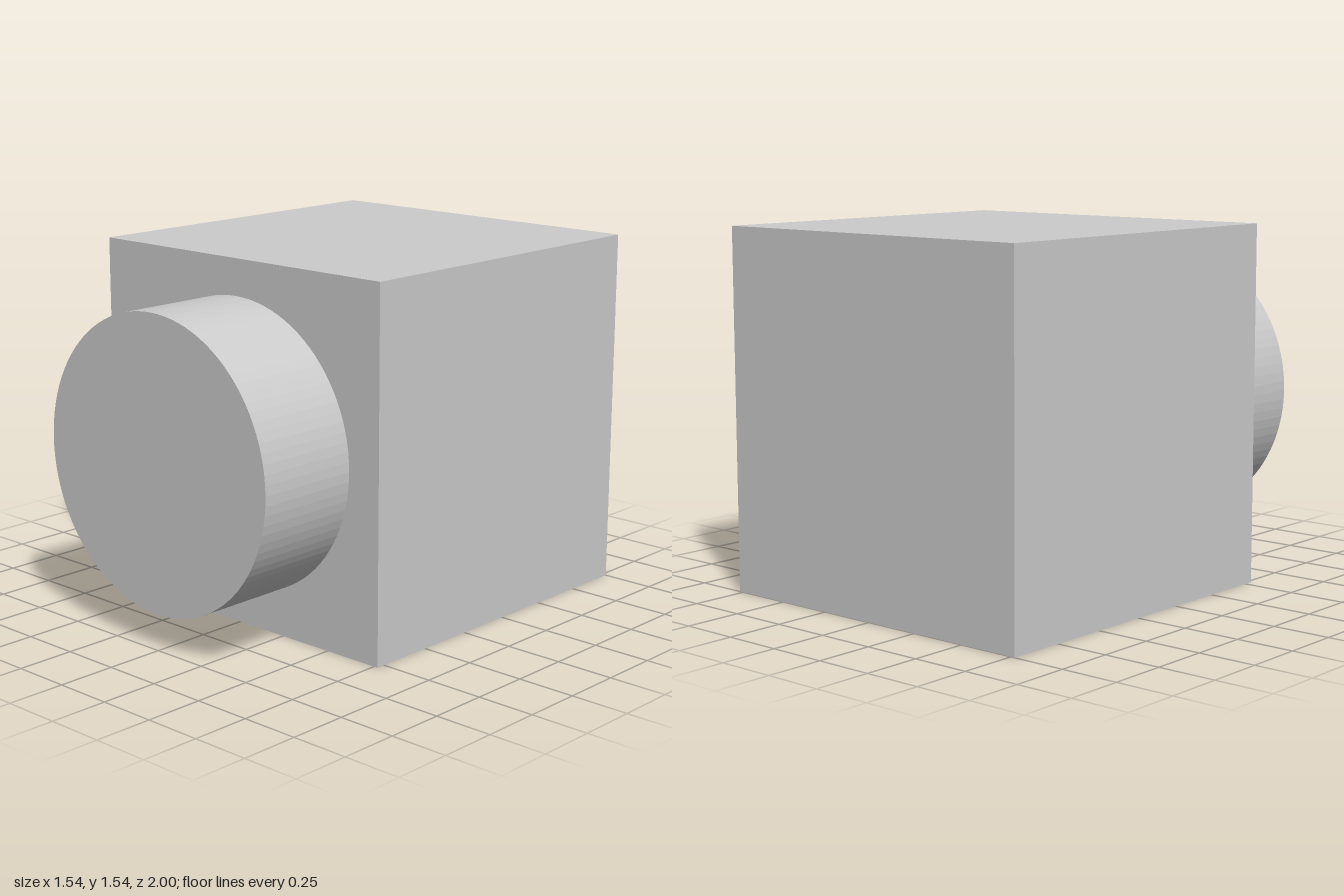
import * as THREE from 'three';

export function createModel() {
  const model = new THREE.Group();
  const material = new THREE.MeshStandardMaterial({ color: 0xcccccc, flatShading: true });

  const unit = 2 / 26; // overall length is 26 units
  const side = 20 * unit;
  const radius = 8 * unit;
  const depth = 6 * unit;

  // Cubic body, flush with the back end
  const body = new THREE.Mesh(new THREE.BoxGeometry(side, side, side), material);
  body.name = 'body';
  body.position.set(0, side / 2, -1 + side / 2);

  // Round boss on the middle of the front face
  const boss = new THREE.Mesh(new THREE.CylinderGeometry(radius, radius, depth, 96), material);
  boss.name = 'frontBoss';
  boss.rotation.x = Math.PI / 2;
  boss.position.set(0, side / 2, 1 - depth / 2);

  model.add(body, boss);
  return model;
}
